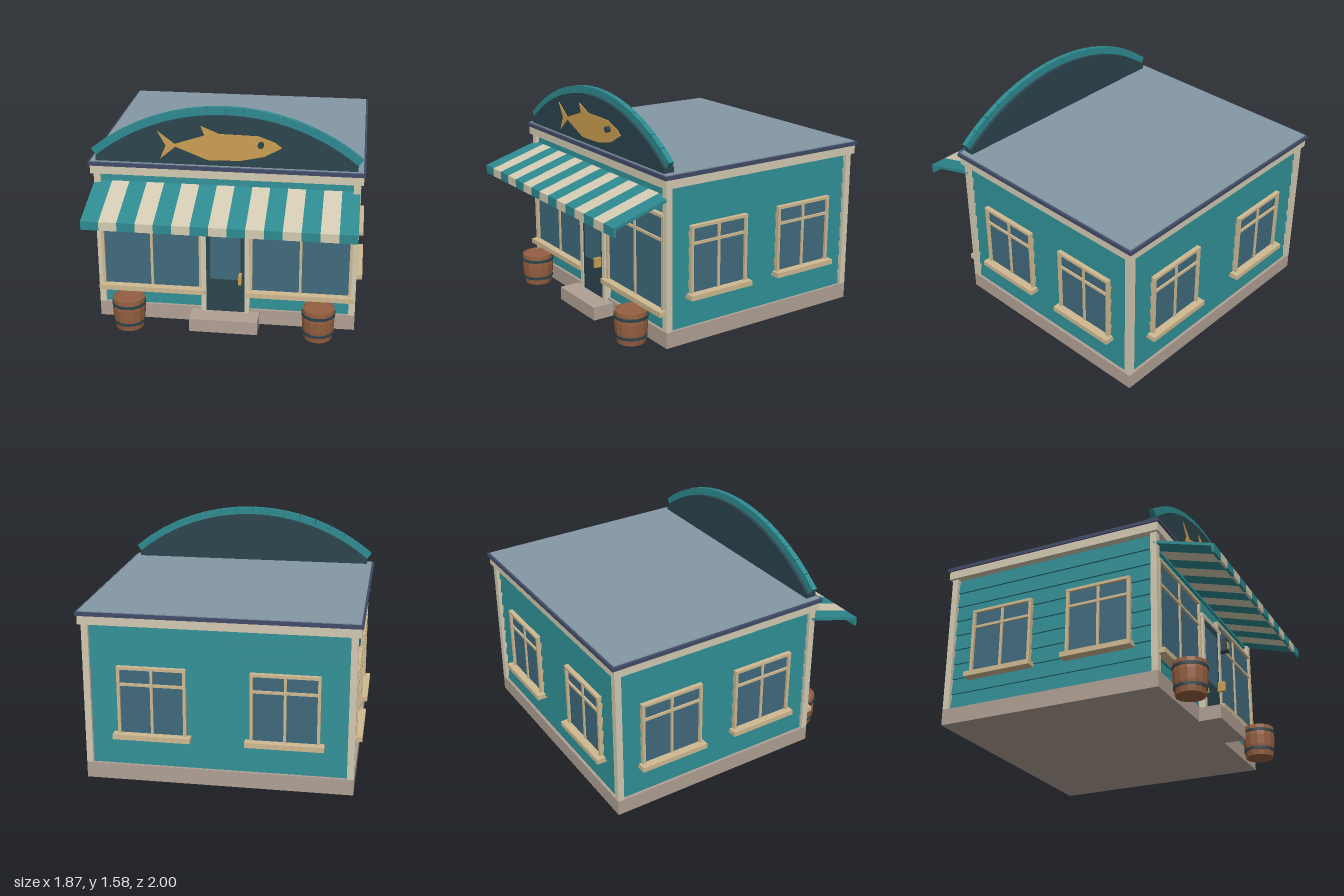
import * as THREE from 'three';

const mat = (name, color, side = THREE.FrontSide) => {
  const m = new THREE.MeshStandardMaterial({ color, side });
  m.name = name;
  return m;
};
const teal = mat('teal paint', 0x2d8a90);
const cream = mat('cream trim', 0xd3cab2);
const tan = mat('tan window wood', 0xcfb991);
const stone = mat('foundation stone', 0xb0a094);
const dark = mat('dark slate', 0x2b444d);
const glass = mat('window glass', 0x406a7d);
const navy = mat('navy roof edge', 0x414b68);
const roofGrey = mat('roof grey', 0x8698a6);
const gold = mat('gold', 0xcc9f52);
const wood = mat('barrel wood', 0x955f40);

const CZ = -0.175; // depth centre of the building

function mesh(parent, name, geometry, material) {
  const m = new THREE.Mesh(geometry, material);
  m.name = name;
  parent.add(m);
  return m;
}
// box given by its minimum and maximum on each axis
function box(parent, name, material, x0, x1, y0, y1, z0, z1) {
  const m = mesh(parent, name, new THREE.BoxGeometry(x1 - x0, y1 - y0, z1 - z0), material);
  m.position.set((x0 + x1) / 2, (y0 + y1) / 2, (z0 + z1) / 2);
  return m;
}
function group(parent, name) {
  const g = new THREE.Group();
  g.name = name;
  parent.add(g);
  return g;
}

// clapboard course: a box whose top leans in, so each one laps the next
function clapboard(parent, y, h) {
  const hw = 0.875, hd = 0.765, lean = 0.014;
  const geo = new THREE.BoxGeometry(hw * 2, h, hd * 2);
  const p = geo.attributes.position;
  for (let i = 0; i < p.count; i++) {
    if (p.getY(i) > 0) {
      p.setX(i, p.getX(i) - Math.sign(p.getX(i)) * lean);
      p.setZ(i, p.getZ(i) - Math.sign(p.getZ(i)) * lean);
    }
  }
  geo.computeVertexNormals();
  mesh(parent, 'clapboard', geo, teal).position.set(0, y + h / 2, CZ);
}

// framed window facing +z, with the wall at z = 0
function framedWindow(parent, name, w, y0, y1, railY, sillW, sillY) {
  const g = group(parent, name), h = w / 2, f = 0.02;
  box(g, 'glass', glass, -h + f, h - f, y0, y1 - f, -0.02, 0.008);
  for (const s of [-1, 1]) {
    const c = s * (h - f / 2);
    box(g, 'frameSide', tan, c - f / 2, c + f / 2, y0, y1, -0.02, 0.026);
  }
  box(g, 'frameTop', tan, -h, h, y1 - f, y1, -0.02, 0.028);
  box(g, 'mullion', tan, -0.009, 0.009, y0, y1 - f, 0, 0.018);
  box(g, 'glazingBar', tan, -h + f, h - f, railY - 0.009, railY + 0.009, 0, 0.021);
  box(g, 'sill', tan, -sillW / 2, sillW / 2, sillY, sillY + 0.035, -0.02, 0.062);
  return g;
}

function buildWalls(root) {
  const g = group(root, 'walls');
  box(g, 'foundation', stone, -0.895, 0.895, 0, 0.11, CZ - 0.785, CZ + 0.785);
  const n = 9, h = 0.98 / n;
  for (let i = 0; i < n; i++) clapboard(g, 0.11 + i * h, h);
  for (const x of [-0.8725, 0.8725]) for (const z of [-0.7625, 0.7625]) {
    box(g, 'cornerPost', cream, x - 0.0225, x + 0.0225, 0.11, 1.09, CZ + z - 0.0225, CZ + z + 0.0225);
  }
  box(g, 'fascia', cream, -0.915, 0.915, 1.085, 1.145, CZ - 0.8, CZ + 0.8);
  box(g, 'roofEdge', navy, -0.925, 0.925, 1.145, 1.17, CZ - 0.813, CZ + 0.813);
  box(g, 'roofDeck', roofGrey, -0.91, 0.91, 1.165, 1.177, CZ - 0.798, CZ + 0.798);
}

function buildWindows(root) {
  const g = group(root, 'windows');
  for (const s of [-1, 1]) {
    for (const d of [-1, 1]) {
      const side = framedWindow(g, 'sideWindow', 0.46, 0.335, 0.805, 0.68, 0.5, 0.305);
      side.position.set(s * 0.873, 0, CZ + d * 0.363);
      side.rotation.y = s * Math.PI / 2;
    }
    const back = framedWindow(g, 'backWindow', 0.46, 0.335, 0.805, 0.68, 0.52, 0.305);
    back.position.set(s * 0.44, 0, -0.938);
    back.rotation.y = Math.PI;
    const shop = framedWindow(g, 'shopWindow', 0.7, 0.255, 0.905, 0.73, 0.74, 0.225);
    shop.position.set(s * 0.515, 0, 0.592);
  }
}

function buildDoor(root) {
  const g = group(root, 'entrance');
  box(g, 'doorStep', stone, -0.235, 0.235, 0, 0.095, 0.6, 0.765);
  for (const x of [-0.15, 0.15]) box(g, 'doorPost', cream, x - 0.017, x + 0.017, 0.095, 0.797, 0.57, 0.633);
  box(g, 'doorLintel', cream, -0.175, 0.175, 0.795, 0.82, 0.57, 0.637);
  box(g, 'door', dark, -0.135, 0.135, 0.095, 0.797, 0.57, 0.625);
  box(g, 'doorGlass', glass, -0.105, 0.105, 0.345, 0.74, 0.622, 0.629);
  box(g, 'doorHandle', gold, 0.095, 0.115, 0.33, 0.4, 0.62, 0.68);
  // wall lantern
  box(g, 'lantern', dark, 0.205, 0.26, 0.685, 0.78, 0.6, 0.665);
  box(g, 'lanternPane', gold, 0.215, 0.25, 0.702, 0.757, 0.663, 0.671);
}

// sloped striped awning with a hanging valance
function buildAwning(root) {
  const g = group(root, 'awning'), n = 15, w = 1.79 / n;
  const profile = new THREE.Shape([
    [0.585, 1.025], [1.0, 0.9], [1.0, 0.84], [0.982, 0.84], [0.982, 0.885], [0.585, 1.004],
  ].map(([z, y]) => new THREE.Vector2(-z, y)));
  const geo = new THREE.ExtrudeGeometry(profile, { depth: w, bevelEnabled: false });
  geo.rotateY(Math.PI / 2); // profile's -z becomes +z, the depth runs along +x
  for (let i = 0; i < n; i++) {
    mesh(g, 'awningStripe', geo, i % 2 ? cream : teal).position.x = -0.895 + i * w;
  }
}

function buildSign(root) {
  const g = group(root, 'sign'), R = 1.373, cy = 0.152, a = 0.691;
  // arched board
  const board = new THREE.Shape();
  board.moveTo(-0.875, 1.165);
  board.lineTo(0.875, 1.165);
  board.absarc(0, cy, R, Math.PI / 2 - a, Math.PI / 2 + a, false);
  const boardGeo = new THREE.ExtrudeGeometry(board, { depth: 0.075, bevelEnabled: false, curveSegments: 24 });
  mesh(g, 'signBoard', boardGeo, dark).position.z = 0.54;
  // row of blocks along the arch
  const n = 16, step = 2 * a / n;
  const block = new THREE.BoxGeometry(2 * R * Math.sin(step / 2), 0.052, 0.036);
  for (let i = 0; i < n; i++) {
    const t = -a + (i + 0.5) * step;
    const b = mesh(g, 'archBlock', block, teal);
    b.position.set(Math.sin(t) * (R + 0.024), cy + Math.cos(t) * (R + 0.024), 0.58);
    b.rotation.z = -t;
  }
  // fish cut-out
  const fish = new THREE.Shape([
    [-0.45, 1.405], [-0.395, 1.305], [-0.435, 1.21], [-0.33, 1.3], [-0.115, 1.215], [0.1, 1.22],
    [0.26, 1.255], [0.375, 1.32], [0.33, 1.355], [0.22, 1.395], [-0.04, 1.4], [-0.16, 1.45],
    [-0.135, 1.385], [-0.335, 1.318],
  ].map(([x, y]) => new THREE.Vector2(x, y)));
  mesh(g, 'fish', new THREE.ExtrudeGeometry(fish, { depth: 0.008, bevelEnabled: false }), gold).position.z = 0.613;
  const eye = mesh(g, 'fishEye', new THREE.CylinderGeometry(0.021, 0.021, 0.03, 8), dark);
  eye.rotation.x = Math.PI / 2;
  eye.position.set(0.238, 1.34, 0.634);
}

// faceted barrel: flat sides come from un-indexed normals
function buildBarrel(root, x) {
  const g = group(root, 'barrel');
  const profile = [[0, 0], [0.098, 0], [0.11, 0.08], [0.114, 0.15], [0.11, 0.225], [0.098, 0.225], [0.096, 0.218], [0, 0.218]];
  const geo = new THREE.LatheGeometry(profile.map(([r, y]) => new THREE.Vector2(r, y)), 14).toNonIndexed();
  geo.computeVertexNormals();
  mesh(g, 'staves', geo, wood);
  for (const [y, r] of [[0.05, 0.109], [0.185, 0.117]]) {
    mesh(g, 'hoop', new THREE.CylinderGeometry(r, r, 0.02, 14), dark).position.y = y;
  }
  g.position.set(x, 0, 0.725);
}

export function createModel() {
  const root = new THREE.Group();
  root.name = 'fishShop';
  buildWalls(root);
  buildWindows(root);
  buildDoor(root);
  buildAwning(root);
  buildSign(root);
  for (const x of [-0.66, 0.65]) buildBarrel(root, x);
  return root;
}
